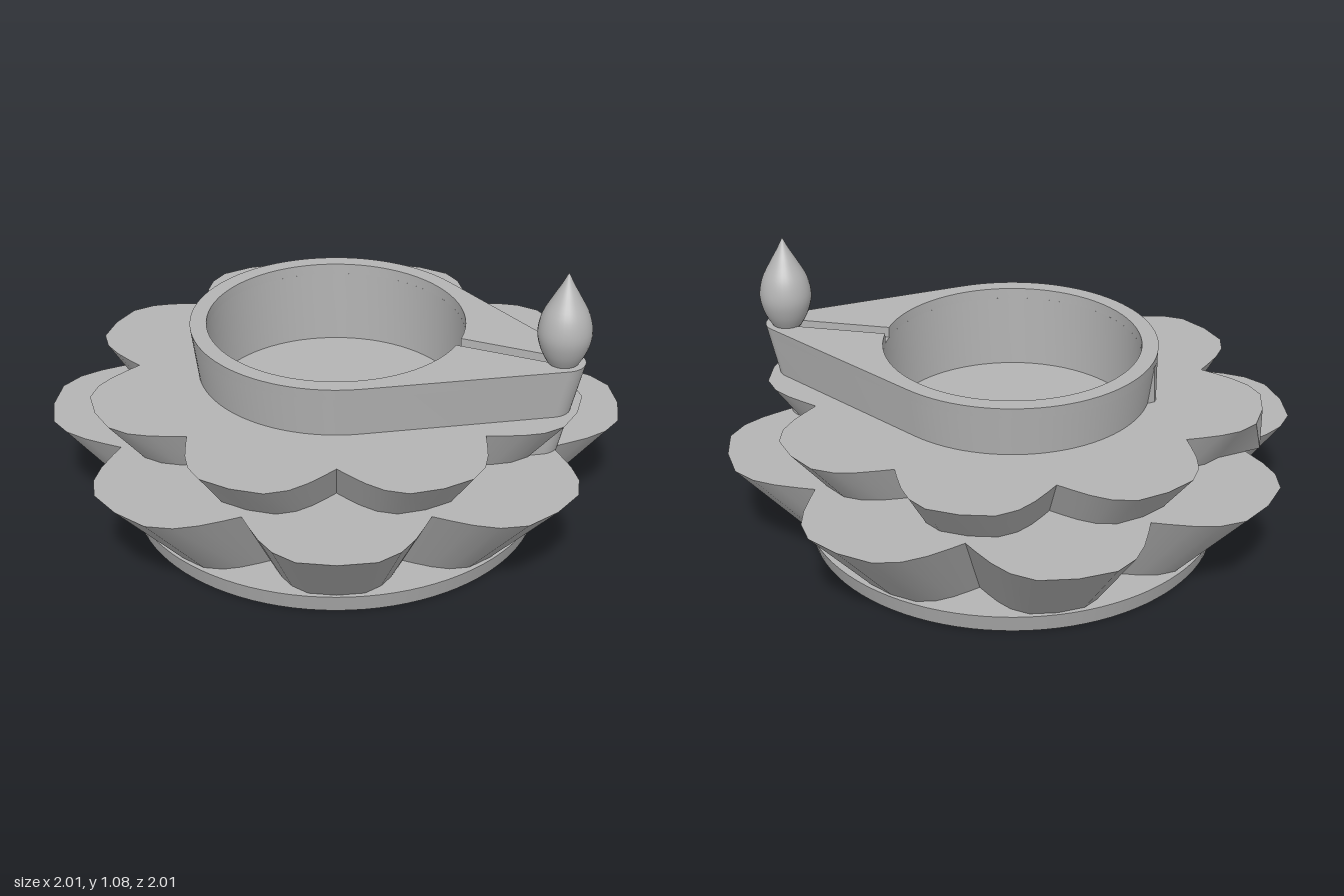
import * as THREE from 'three';
import { toCreasedNormals } from 'three/addons/utils/BufferGeometryUtils.js';

const clay = new THREE.MeshStandardMaterial({ color: 0xb4b4b4 });
clay.name = 'clay grey';

const polar = (r, a, cx = 0) => new THREE.Vector2(cx + r * Math.cos(a), r * Math.sin(a));

// Points along an arc, both ends included
function arc(r, a0, a1, n, cx = 0) {
  return Array.from({ length: n + 1 }, (_, i) => polar(r, a0 + ((a1 - a0) * i) / n, cx));
}

// Upright prism whose outer wall flares from scale s0 at y0 to s1 at y1; holes stay vertical
function flared(outline, hole, y0, y1, s0, s1) {
  const shape = new THREE.Shape(outline);
  if (hole) shape.holes.push(new THREE.Path(hole));
  const geo = new THREE.ExtrudeGeometry(shape, { depth: y1 - y0, bevelEnabled: false });
  geo.rotateX(-Math.PI / 2);
  const p = geo.attributes.position;
  for (let i = 0; i < p.count; i++) {
    const x = p.getX(i), y = p.getY(i), z = p.getZ(i);
    const inHole = hole && (Math.hypot(x, z) < 0.478 || (Math.abs(z) < 0.03 && x < 0.88));
    const s = inHole ? 1 : s0 + ((s1 - s0) * y) / (y1 - y0);
    p.setXYZ(i, x * s, y + y0, z * s);
  }
  return toCreasedNormals(geo, 0.65);
}

// Eight-petal outline; half a petal as (sideways, outward) pairs from notch to tip
function petals(scale, turn) {
  const half = [[0.277, 0.669], [0.256, 0.72], [0.225, 0.787], [0.183, 0.85], [0.116, 0.9], [0, 0.915]];
  const petal = [...half.slice(1), ...half.slice(1, 5).reverse().map(([u, r]) => [-u, r]), [-0.277, 0.669]];
  const pts = [];
  for (let k = 0; k < 8; k++) {
    const a = turn + (k * Math.PI) / 4;
    for (const [u, r] of petal) {
      pts.push(new THREE.Vector2(
        scale * (r * Math.cos(a) + u * Math.sin(a)),
        scale * (r * Math.sin(a) - u * Math.cos(a))
      ));
    }
  }
  return pts;
}

export function createModel() {
  const model = new THREE.Group();
  model.name = 'oilLamp';
  const add = (name, geo, parent = model) => {
    const mesh = new THREE.Mesh(geo, clay);
    mesh.name = name;
    parent.add(mesh);
    return mesh;
  };

  // Round foot
  add('base', new THREE.CylinderGeometry(0.78, 0.76, 0.07, 96)).position.y = 0.035;

  // Two staggered petal tiers
  const ring = arc(0.475, 0, Math.PI * 2, 64).slice(0, -1);
  add('lowerPetals', flared(petals(1.147, Math.PI / 8), null, 0.07, 0.39, 0.732, 1));
  add('upperPetals', flared(petals(1, 0), ring, 0.39, 0.55, 0.858, 1));

  // Teardrop bowl: big circle joined by tangents to a small spout circle
  const bowl = new THREE.Group();
  bowl.name = 'bowl';
  model.add(bowl);
  const t = Math.acos((0.53 - 0.08) / 0.85);
  const drop = [...arc(0.53, t, Math.PI * 2 - t, 64), ...arc(0.08, -t, t, 16, 0.85)];
  const well = arc(0.47, 0, Math.PI * 2, 72).slice(0, -1);
  const w = 0.027, a = Math.asin(w / 0.47);
  const keyhole = [
    ...arc(0.47, a, Math.PI * 2 - a, 72),
    new THREE.Vector2(0.86, -w), new THREE.Vector2(0.86, w),
  ];
  const s = (y) => 1 - (0.74 - y) * 0.25;
  add('bowlBottom', flared(drop, null, 0.19, 0.42, s(0.19), s(0.42)), bowl);
  add('bowlWall', flared(drop, well, 0.42, 0.7, s(0.42), s(0.7)), bowl);
  // Rim layer carries the wick groove
  add('bowlRim', flared(drop, keyhole, 0.7, 0.74, s(0.7), 1), bowl);

  // Flame above the spout
  const side = new THREE.SplineCurve([
    [0.052, 0.735], [0.079, 0.785], [0.095, 0.85], [0.083, 0.92], [0.05, 0.985], [0.022, 1.035], [0, 1.08],
  ].map(([x, y]) => new THREE.Vector2(x, y))).getPoints(24);
  side[side.length - 1].x = 0;
  const flame = new THREE.LatheGeometry([new THREE.Vector2(0, 0.725), ...side], 32);
  add('flame', flame).position.x = 0.85;

  return model;
}
